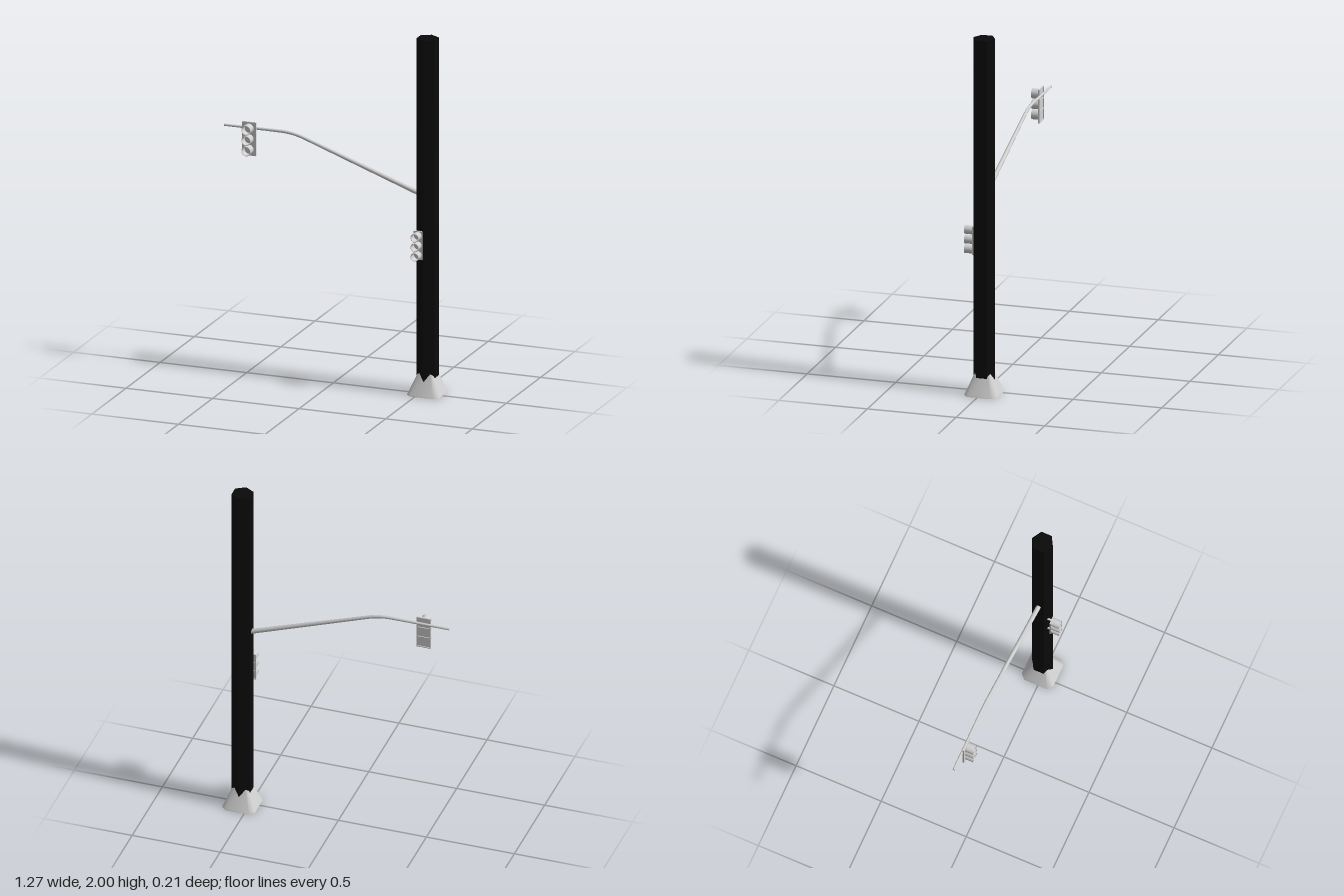
import * as THREE from 'three';

const POLE_X = 0.54;
const POLE_Z = -0.013;

const blackPaint = new THREE.MeshStandardMaterial({ color: 0x0a0a0a, flatShading: true });
blackPaint.name = 'blackPaint';
const greyMetal = new THREE.MeshStandardMaterial({ color: 0xd0d0d0, side: THREE.DoubleSide });
greyMetal.name = 'greyMetal';

function add(parent, name, geometry, material, x = 0, y = 0, z = 0) {
  const mesh = new THREE.Mesh(geometry, material);
  mesh.name = name;
  mesh.position.set(x, y, z);
  parent.add(mesh);
  return mesh;
}

// Square outline with cut corners, as [x, z] pairs
function cutSquare(half, cut) {
  const a = half, b = half - cut;
  return [[b, a], [a, b], [a, -b], [b, -a], [-b, -a], [-a, -b], [-a, b], [-b, a]];
}

// Hollow flared shoe lofted through cut-corner squares
function footGeometry() {
  const levels = [[0, 0.0925, 0.026], [0.008, 0.0905, 0.026], [0.132, 0.039, 0.011]];
  const positions = [], index = [];
  for (const [y, half, cut] of levels) {
    for (const [x, z] of cutSquare(half, cut)) positions.push(x, y, z);
  }
  for (let l = 0; l < levels.length - 1; l++) {
    for (let i = 0; i < 8; i++) {
      const j = (i + 1) % 8, a = l * 8 + i, b = l * 8 + j;
      index.push(a, b, b + 8, a, b + 8, a + 8);
    }
  }
  const g = new THREE.BufferGeometry();
  g.setAttribute('position', new THREE.Float32BufferAttribute(positions, 3));
  g.setIndex(index);
  g.computeVertexNormals();
  return g;
}

// Round tube along a curve, its radius shrinking from r0 to r1
function taperedTube(curve, r0, r1, segments = 40, sides = 12) {
  const g = new THREE.TubeGeometry(curve, segments, 1, sides, false);
  const p = g.attributes.position, v = new THREE.Vector3(), c = new THREE.Vector3();
  for (let i = 0; i <= segments; i++) {
    curve.getPointAt(i / segments, c);
    const r = THREE.MathUtils.lerp(r0, r1, i / segments);
    for (let j = 0; j <= sides; j++) {
      const k = i * (sides + 1) + j;
      v.fromBufferAttribute(p, k).sub(c).multiplyScalar(r).add(c);
      p.setXYZ(k, v.x, v.y, v.z);
    }
  }
  return g;
}

// Three-lamp head; its back plate lies at z = 0 and the visors face +z
function signalHead(name, { width, height, pitch, radius, depth }) {
  const head = new THREE.Group();
  head.name = name;
  add(head, 'backPlate', new THREE.BoxGeometry(width, height, 0.004), greyMetal);

  // Raised frame and ribs behind the plate
  const bar = 0.005, back = -0.004;
  for (const s of [-1, 1]) {
    add(head, 'sideRail', new THREE.BoxGeometry(bar, height, 0.006), greyMetal, s * (width - bar) / 2, 0, back);
    add(head, 'endRail', new THREE.BoxGeometry(width, bar, 0.006), greyMetal, 0, s * (height - bar) / 2, back);
    add(head, 'rib', new THREE.BoxGeometry(width, bar, 0.006), greyMetal, 0, s * pitch / 2, back);
  }

  // Open visor tubes, each with a recessed domed lens
  const visor = new THREE.LatheGeometry([
    new THREE.Vector2(radius, 0), new THREE.Vector2(radius, depth),
    new THREE.Vector2(radius - 0.003, depth), new THREE.Vector2(radius - 0.003, 0.004),
  ], 20).rotateX(Math.PI / 2);
  const lens = new THREE.SphereGeometry(radius - 0.003, 16, 5, 0, Math.PI * 2, 0, Math.PI / 2)
    .scale(1, 0.25, 1).rotateX(Math.PI / 2);
  for (const k of [-1, 0, 1]) {
    add(head, 'visor', visor, greyMetal, 0, k * pitch, 0);
    add(head, 'lens', lens, greyMetal, 0, k * pitch, 0.004);
  }
  return head;
}

export function createModel() {
  const model = new THREE.Group();
  model.name = 'trafficSignalPole';

  // Six-sided pole and its foot
  const bottom = 0.07, top = 2;
  add(model, 'pole', new THREE.CylinderGeometry(0.061, 0.061, top - bottom, 6), blackPaint,
    POLE_X, (top + bottom) / 2, POLE_Z);
  add(model, 'foot', footGeometry(), greyMetal, POLE_X, 0, POLE_Z);

  // Tapered mast arm: sloped, bent, then level
  const at = (x, y) => new THREE.Vector3(x, y, POLE_Z);
  const arm = new THREE.CurvePath();
  arm.add(new THREE.LineCurve3(at(0.52, 1.11), at(-0.17, 1.354)));
  arm.add(new THREE.QuadraticBezierCurve3(at(-0.17, 1.354), at(-0.235, 1.378), at(-0.31, 1.378)));
  arm.add(new THREE.LineCurve3(at(-0.31, 1.378), at(-0.635, 1.377)));
  add(model, 'mastArm', taperedTube(arm, 0.0135, 0.0065), greyMetal);
  add(model, 'armTip', new THREE.CircleGeometry(0.0065, 12).rotateY(-Math.PI / 2), greyMetal, -0.635, 1.377, POLE_Z);

  // Overhead signal hung on the arm
  const overhead = signalHead('overheadSignal',
    { width: 0.08, height: 0.188, pitch: 0.059, radius: 0.027, depth: 0.047 });
  overhead.position.set(-0.487, 1.318, -0.002);
  model.add(overhead);

  // Smaller signal on the pole, with its brackets
  const side = signalHead('poleSignal',
    { width: 0.048, height: 0.16, pitch: 0.054, radius: 0.0235, depth: 0.047 });
  side.position.set(0.511, 0.849, 0.058);
  model.add(side);
  for (const s of [-1, 1]) {
    add(model, 'bracket', new THREE.BoxGeometry(0.009, 0.01, 0.04), greyMetal, 0.511, 0.849 + s * 0.07, 0.038);
  }
  return model;
}
